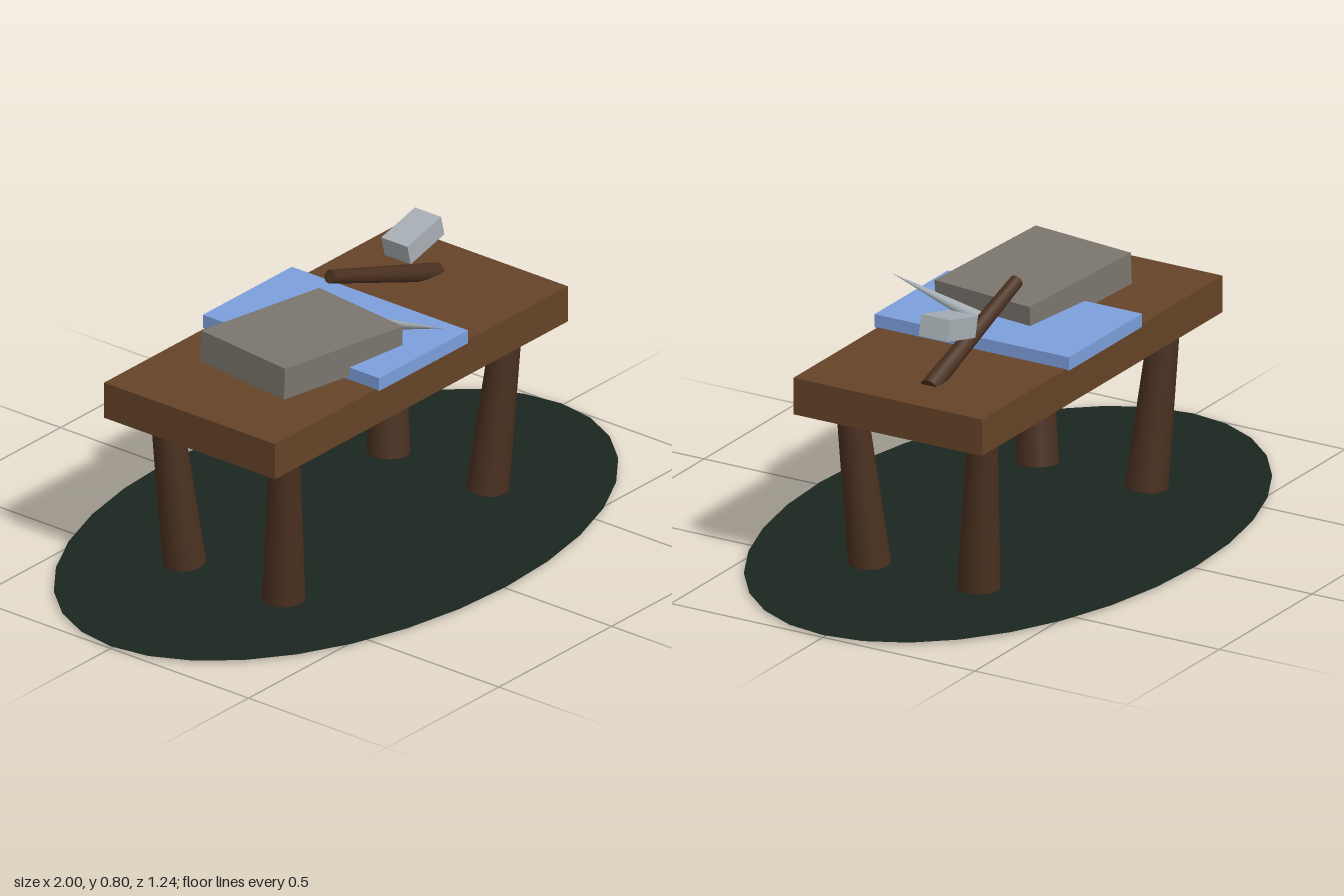
import * as THREE from 'three';

const material = (color, side = THREE.FrontSide) => new THREE.MeshStandardMaterial({ color, side });

function addMesh(group, name, geometry, mat, position = [0, 0, 0], rotation = [0, 0, 0]) {
  const mesh = new THREE.Mesh(geometry, mat);
  mesh.name = name;
  mesh.position.set(...position);
  mesh.rotation.set(...rotation);
  group.add(mesh);
  return mesh;
}

// Tapered round bar running between two points
function addBar(group, name, from, to, rFrom, rTo, sides, mat) {
  const a = new THREE.Vector3(...from);
  const b = new THREE.Vector3(...to);
  const dir = b.clone().sub(a);
  const geometry = new THREE.CylinderGeometry(rTo, rFrom, dir.length(), sides);
  const mesh = addMesh(group, name, geometry, mat, a.clone().add(b).multiplyScalar(0.5).toArray());
  mesh.quaternion.setFromUnitVectors(new THREE.Vector3(0, 1, 0), dir.normalize());
  return mesh;
}

export function createModel() {
  const model = new THREE.Group();
  model.name = 'workTable';

  const wood = material(0x654327);
  const darkWood = material(0x4a3020);
  const steel = material(0xa8b0b5);

  // Flat oval ground patch
  const oval = new THREE.CircleGeometry(1, 32).scale(1, 0.62, 1).rotateX(-Math.PI / 2);
  addMesh(model, 'groundPatch', oval, material(0x1a2620, THREE.DoubleSide), [0, 0.006, 0]);

  // Table top and four legs leaning in towards the ground
  addMesh(model, 'tableTop', new THREE.BoxGeometry(1.3, 0.11, 0.62), wood, [0, 0.547, 0]);
  for (const x of [-1, 1]) {
    for (const z of [-1, 1]) {
      const name = (z > 0 ? 'front' : 'back') + (x > 0 ? 'Left' : 'Right') + 'Leg';
      addBar(model, name, [x * 0.453, 0.006, z * 0.18], [x * 0.494, 0.51, z * 0.217],
        0.062, 0.043, 16, darkWood);
    }
  }

  // Cloth laid across the table
  addMesh(model, 'cloth', new THREE.BoxGeometry(0.395, 0.04, 0.64), material(0x7d9fdc), [-0.002, 0.62, 0]);

  // Stone slab resting on the cloth edge
  addMesh(model, 'slab', new THREE.BoxGeometry(0.46, 0.095, 0.34), material(0x7b766e),
    [-0.202, 0.662, 0.04], [0, -0.12, -0.05]);

  // Pointed spike rising towards the front
  addBar(model, 'spike', [0.06, 0.623, 0.016], [0.052, 0.71, 0.35], 0.025, 0, 16, steel);

  // Hammer: slanted handle and tilted block head
  const hammer = new THREE.Group();
  hammer.name = 'hammer';
  addBar(hammer, 'hammerHandle', [0.5, 0.593, -0.045], [0.028, 0.758, -0.045], 0.028, 0.02, 12, darkWood);
  addMesh(hammer, 'hammerHead', new THREE.BoxGeometry(0.154, 0.062, 0.095), steel,
    [0.396, 0.746, -0.045], [0, 0, 0.245]);
  model.add(hammer);

  return model;
}
